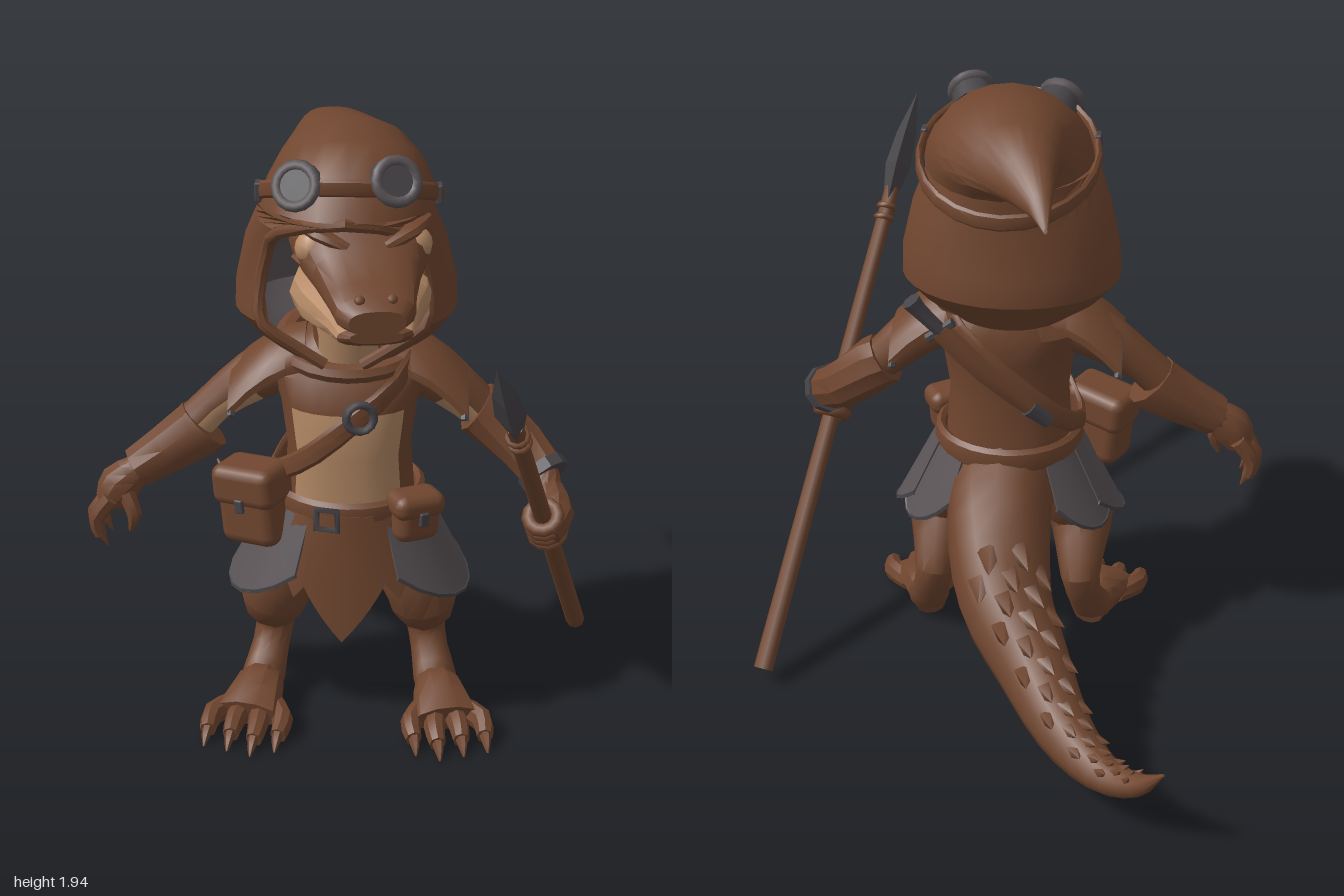
import * as THREE from 'three';
import { toCreasedNormals } from 'three/addons/utils/BufferGeometryUtils.js';
import { RoundedBoxGeometry } from 'three/addons/geometries/RoundedBoxGeometry.js';

const V = (x, y, z) => new THREE.Vector3(x, y, z);
const material = (name, color) => Object.assign(new THREE.MeshStandardMaterial({ color }), { name });
const BROWN = 0, TAN = 1, GRAY = 2, DARK = 3;
const X = V(1, 0, 0), Y = V(0, 1, 0), Z = V(0, 0, 1);

export function createModel() {
  const M = [material('brown hide and leather', 0x70462f), material('tan skin', 0xb58a66),
    material('gray cloth and steel', 0x5a5356), material('dark metal', 0x474448)];
  const model = new THREE.Group();
  model.name = 'lizardScout';

  function add(name, geo, color, pos = [0, 0, 0], rot = [0, 0, 0], parent = model) {
    const mesh = new THREE.Mesh(geo, Array.isArray(color) ? M : M[color]);
    mesh.name = name;
    mesh.position.set(...pos);
    mesh.rotation.set(...rot);
    parent.add(mesh);
    return mesh;
  }

  // Closed surface through rings of points; paint(i, j) picks a colour per face
  function surface(name, rings, paint, { loop = false, shell = false, parent = model } = {}) {
    const n = rings[0].length, R = rings.length, pts = rings.flat(), faces = [[], [], [], []];
    const quad = (c, a, b, d, e) => faces[c].push(a, b, d, a, d, e);
    for (let i = 0; i < (loop ? R : R - 1); i++) for (let j = 0; j < n; j++) {
      const a = i * n, b = ((i + 1) % R) * n, k = (j + 1) % n;
      quad(paint(i, j), a + j, a + k, b + k, b + j);
    }
    if (!loop) for (const end of [0, R - 1]) {
      const o = end * n, flip = end > 0;
      if (shell) for (let j = 0; j < n / 2 - 1; j++) {
        const q = [o + j, o + n - 1 - j, o + n - 2 - j, o + j + 1];
        quad(paint(0, 0), ...(flip ? q.reverse() : q));
      } else {
        const c = pts.length;
        pts.push(rings[end].reduce((s, p) => s.add(p), V(0, 0, 0)).divideScalar(n));
        for (let j = 0; j < n; j++) {
          const a = o + j, b = o + (j + 1) % n;
          faces[paint(Math.min(end, R - 2), j)].push(c, ...(flip ? [a, b] : [b, a]));
        }
      }
    }
    // Turn the faces outward
    let volume = 0;
    for (const f of faces) for (let t = 0; t < f.length; t += 3)
      volume += pts[f[t]].dot(V(0, 0, 0).crossVectors(pts[f[t + 1]], pts[f[t + 2]]));
    const geo = new THREE.BufferGeometry().setFromPoints(pts), index = [];
    faces.forEach((f, c) => {
      if (volume < 0) f.reverse();
      if (f.length) geo.addGroup(index.length, f.length, c);
      index.push(...f);
    });
    geo.setIndex(index);
    const used = [0, 1, 2, 3].filter(c => faces[c].length);
    if (used.length === 1) geo.clearGroups();
    return add(name, toCreasedNormals(geo, 0.6), used.length === 1 ? used[0] : used, undefined, undefined, parent);
  }

  // Symmetric form from rings [front z, front y, back z, back y, x, half width]
  function skin(name, rows, paint, { n = 20, pow = 1, parent } = {}) {
    const p = v => Math.sign(v) * Math.abs(v) ** pow;
    surface(name, rows.map(([zf, yf, zb, yb, x, rx]) => Array.from({ length: n }, (_, j) => {
      const a = j / n * Math.PI * 2, c = p(Math.cos(a)) / 2;
      return V(x + rx * p(Math.sin(a)), (yf + yb) / 2 + (yf - yb) * c, (zf + zb) / 2 + (zf - zb) * c);
    })), paint, { parent });
  }

  function smooth(pts, k, closed) {
    const P = new THREE.CatmullRomCurve3(pts.map(p => V(p[0], p[1], p[2])), closed, 'catmullrom');
    const S = new THREE.CatmullRomCurve3(pts.map(p => V(p[3], p[4] ?? p[3], 0)), closed, 'catmullrom');
    const m = (pts.length - (closed ? 0 : 1)) * k;
    return Array.from({ length: closed ? m : m + 1 }, (_, i) => {
      const a = P.getPoint(i / m), r = S.getPoint(i / m);
      return { c: a, w: Math.max(r.x, 0.003), h: Math.max(r.y, 0.003) };
    });
  }
  function frame(s, i, up, closed) {
    const L = s.length, at = k => s[closed ? (k + L) % L : Math.min(Math.max(k, 0), L - 1)].c;
    const t = at(i + 1).clone().sub(at(i - 1)).normalize();
    const u = typeof up === 'function' ? up(s[i].c) : up;
    const side = V(0, 0, 0).crossVectors(u, t).normalize();
    return { t, side, v: V(0, 0, 0).crossVectors(t, side) };
  }
  // Tapering limb along points [x, y, z, half width, half height]
  function limb(name, pts, color, { n = 10, up = Y, k = 2, closed = false, paint, parent } = {}) {
    const s = smooth(pts, k, closed);
    surface(name, s.map((q, i) => {
      const f = frame(s, i, up, closed);
      return Array.from({ length: n }, (_, j) => {
        const a = j / n * Math.PI * 2;
        return q.c.clone().addScaledVector(f.side, q.w * Math.cos(a)).addScaledVector(f.v, q.h * Math.sin(a));
      });
    }), paint ?? (() => color), { loop: closed, parent });
    return s;
  }
  // Thick sheet from f(u, v, inset)
  function shell(name, nu, nv, thick, f, outer, inner = outer) {
    surface(name, Array.from({ length: nv + 1 }, (_, i) => {
      const row = d => Array.from({ length: nu + 1 }, (_, j) => f(j / nu, i / nv, d));
      return [...row(0), ...row(thick).reverse()];
    }), (i, j) => j > nu && j < 2 * nu + 1 ? inner : outer, { shell: true });
  }
  const facing = (j, n) => Math.abs(((j + 0.5) / n * 2 + 1) % 2 - 1) * Math.PI; // angle from the front

  // Torso and neck
  skin('torso', [[.2, .43, .04, .43, 0, .1], [.27, .55, -.02, .55, 0, .18], [.285, .7, -.08, .7, 0, .205],
    [.28, .82, -.07, .82, 0, .2], [.285, .95, -.05, .95, 0, .19], [.285, 1.1, -.07, 1.1, 0, .21],
    [.25, 1.19, -.08, 1.19, 0, .24], [.2, 1.27, -.05, 1.27, 0, .17], [.17, 1.33, -.02, 1.33, 0, .1]],
  (i, j) => i >= 2 && i <= 4 && facing(j, 28) < .8 ? TAN : BROWN, { n: 28, pow: .88 });
  skin('neck', [[.22, 1.2, 0, 1.2, 0, .11], [.24, 1.32, 0, 1.32, 0, .11], [.26, 1.43, .02, 1.45, 0, .13]],
    (i, j) => facing(j, 20) < .9 ? TAN : BROWN);

  // Head, turned a little to its left
  const head = new THREE.Group();
  head.name = 'head';
  head.rotation.y = .16;
  model.add(head);
  const across = rows => rows.map(([z, t, b, rx]) => [z, t, z, b, 0, rx]);
  skin('skullAndSnout', across([[.02, 1.7, 1.45, .17], [.2, 1.74, 1.53, .205], [.32, 1.73, 1.525, .188],
    [.39, 1.665, 1.51, .155], [.49, 1.605, 1.495, .125], [.565, 1.59, 1.485, .113], [.605, 1.56, 1.49, .08]]),
  () => BROWN, { n: 16, pow: .8, parent: head });
  skin('jaw', across([[.04, 1.54, 1.38, .17], [.24, 1.575, 1.405, .208], [.33, 1.565, 1.4, .192], [.41, 1.54, 1.41, .155],
    [.5, 1.52, 1.43, .125], [.565, 1.5, 1.445, .108], [.59, 1.495, 1.46, .075]]),
  (i, j) => i > 4 || facing(j, 16) > 2.6 ? BROWN : TAN, { n: 16, pow: .8, parent: head });
  for (const s of [-1, 1]) {
    add('eye', new THREE.SphereGeometry(.053, 12, 8), TAN, [s * .145, 1.645, .305], undefined, head);
    limb('brow', [[s * .055, 1.66, .375, .014, .018], [s * .13, 1.695, .335, .032, .02], [s * .195, 1.7, .24, .014]],
      BROWN, { n: 8, parent: head });
    limb('lowerEyelid', [[s * .09, 1.61, .36, .01], [s * .15, 1.595, .335, .016], [s * .195, 1.605, .26, .01]],
      BROWN, { n: 6, parent: head });
    add('nostril', new THREE.SphereGeometry(.016, 8, 6), BROWN, [s * .045, 1.58, .57], undefined, head);
  }

  // Hood: open lower part [y, rx, centre z, rz, opening], rim and pointed cap
  const hood = [[1.25, .19, .07, .18, .3], [1.31, .28, .06, .215, .55], [1.38, .335, .055, .275, .78],
    [1.46, .332, .05, .265, .85], [1.6, .3, .065, .23, .83], [1.68, .268, .095, .265, .72], [1.725, .255, .115, .285, .06]];
  const hoodPoint = (r, a, d) => V(Math.sin(a) * (r[1] - d) - .012, r[0], r[2] + Math.cos(a) * (r[3] - d));
  shell('hoodSides', 24, 6, .022, (u, v, d) => {
    const r = hood[Math.round(v * 6)];
    return hoodPoint(r, r[4] + u * (Math.PI * 2 - 2 * r[4]), d);
  }, BROWN, GRAY);
  const edge = s => hood.slice(0, 6).map(r => [...hoodPoint(r, s * r[4], 0).toArray(), .019]);
  limb('hoodRim', [...edge(-1), [0, 1.735, .39, .02], ...edge(1).reverse()], BROWN, { n: 8, up: Z });
  skin('hoodCap', [[.4, 1.74, -.17, 1.7, 0, .257], [.335, 1.84, -.18, 1.715, 0, .243], [.2, 1.92, -.2, 1.73, 0, .21],
    [.03, 1.945, -.22, 1.74, -.01, .17], [-.13, 1.93, -.26, 1.745, -.05, .12], [-.25, 1.895, -.32, 1.75, -.09, .075],
    [-.36, 1.82, -.39, 1.75, -.13, .032], [-.43, 1.75, -.44, 1.735, -.15, .006]], () => BROWN);
  limb('collar', Array.from({ length: 12 }, (_, i) => {
    const a = i / 6 * Math.PI;
    return [.2 * Math.sin(a), 1.265 - .045 * Math.cos(a), .07 + .17 * Math.cos(a), .035, .03];
  }), BROWN, { closed: true, n: 8 });

  // Goggles and strap
  const outward = p => V(p.x, 0, p.z - .1);
  limb('goggleStrap', Array.from({ length: 12 }, (_, i) => {
    const a = i / 6 * Math.PI;
    return [.268 * Math.sin(a), 1.735 + .095 * Math.cos(a), .085 + .27 * Math.cos(a), .026, .012];
  }), BROWN, { closed: true, n: 8, up: outward });
  for (const s of [-1, 1]) {
    const g = new THREE.Group();
    g.name = 'goggle';
    g.position.set(s * .132, 1.825 + s * .008, .308);
    g.rotation.set(-.45, s * .3, 0);
    model.add(g);
    add('goggleCup', new THREE.CylinderGeometry(.06, .074, .08, 14), DARK, [0, 0, -.01], [Math.PI / 2, 0, 0], g);
    add('goggleRing', new THREE.TorusGeometry(.058, .017, 8, 16), GRAY, [0, 0, .028], undefined, g);
    add('lens', new THREE.CylinderGeometry(.05, .05, .008, 14), DARK, [0, 0, .033], [Math.PI / 2, 0, 0], g);
    add('strapBuckle', new RoundedBoxGeometry(.02, .06, .045, 1, .006), DARK, [s * .262, 1.757, .16]);
  }

  // Legs, feet, shoulder plates
  for (const s of [-1, 1]) {
    const m = pts => pts.map(([x, ...r]) => [x * s, ...r]);
    limb('leg', m([[.15, .66, .11, .13, .1], [.205, .53, .14, .13, .12], [.235, .42, .16, .105, .11],
      [.24, .34, .09, .08, .085], [.245, .26, .02, .06, .065], [.26, .17, .05, .05, .06],
      [.28, .09, .11, .06, .07], [.285, .04, .13, .035, .06]]), BROWN, { up: X, n: 12 });
    limb('foot', m([[.27, .06, .08, .05, .05], [.29, .078, .17, .08, .075], [.32, .053, .3, .11, .05]]), BROWN);
    [.215, .29, .365, .44].forEach((x, i) => {
      const z = .41 - .025 * Math.abs(i - 1);
      limb('toe', m([[.3 + (x - .32) * .5, .05, .22, .035, .035], [x - .01, .045, z - .07, .034, .042],
        [x, .03, z, .026, .03]]), BROWN, { n: 8 });
      limb('toeClaw', m([[x, .034, z - .01, .02, .024], [x + .005, .022, z + .03, .013, .016],
        [x + .008, .006, z + .058, .003]]), BROWN, { n: 6 });
    });
    const plate = (u, v, d) => {
      const a = (u - .5) * 2.3;
      return V(s * (.13 + .23 * v), 1.32 - .02 * v - .12 * v * v - (1 - Math.cos(a)) * .14 - d,
        .09 + (.13 + .04 * v) * Math.sin(a));
    };
    shell('shoulderPlate', 8, 4, .025, plate, BROWN, GRAY);
    limb('shoulderPlateTrim', Array.from({ length: 7 }, (_, i) => [...plate(i / 6, .96, .03).toArray(), .013]),
      DARK, { up: X, n: 6 });
  }

  // Right arm with open hand
  limb('rightArm', [[-.18, 1.2, .08, .09], [-.3, 1.14, .08, .08], [-.42, 1.05, .09, .062], [-.52, .95, .105, .065],
    [-.64, .86, .13, .05], [-.7, .81, .15, .05]], BROWN,
  { up: Z, n: 12, paint: (i, j) => i > 1 && i < 7 && j < 3 ? TAN : BROWN });
  limb('rightBracer', [[-.45, .985, .097, .095, .085], [-.47, .965, .1, .095, .085], [-.57, .9, .115, .08, .075],
    [-.66, .845, .135, .068]], BROWN, { up: Z, k: 1 });
  limb('rightPalm', [[-.65, .85, .135, .045], [-.71, .8, .15, .068, .06], [-.745, .74, .155, .05, .055]], BROWN, { up: Z });
  for (const [z, x, y] of [[.1, 0, 0], [.15, -.012, -.02], [.2, 0, 0]]) {
    limb('rightFinger', [[-.735, .77, z, .028], [-.785 + x, .7, z, .026], [-.775 + x, .64 + y, z, .019]], BROWN, { up: Z, n: 7 });
    limb('rightClaw', [[-.775 + x, .65 + y, z, .016], [-.755 + x, .605 + y, z, .003]], BROWN, { up: Z, n: 6 });
  }
  limb('rightThumb', [[-.69, .78, .185, .026], [-.665, .72, .205, .024], [-.68, .66, .205, .006]], BROWN, { up: Z, n: 7 });

  // Left arm, gripping the spear
  limb('leftArm', [[.18, 1.2, .08, .09], [.3, 1.13, .07, .08], [.42, 1.02, .06, .065], [.53, .93, .08, .065],
    [.6, .85, .17, .052], [.605, .79, .26, .055]], BROWN,
  { n: 12, paint: (i, j) => i > 1 && i < 6 && j > 5 && j < 9 ? TAN : BROWN });
  limb('leftBracer', [[.39, 1.04, .06, .085], [.42, 1.02, .06, .088], [.53, .925, .085, .08], [.605, .86, .155, .07]],
    BROWN, { k: 1 });
  limb('leftCuff', [[.588, .873, .14, .08], [.608, .852, .163, .08]], DARK, { k: 1 });
  limb('leftHand', [[.61, .83, .2, .05], [.62, .785, .27, .07, .065], [.6, .74, .33, .05]], BROWN);

  const spear = new THREE.Group(), base = V(.77, .06, -.32), reach = V(.405, 1.57, 1).sub(base);
  spear.name = 'spear';
  spear.position.copy(base);
  spear.quaternion.setFromUnitVectors(Y, reach.clone().normalize());
  model.add(spear);
  add('spearShaft', new THREE.CylinderGeometry(.025, .032, 1.68, 8), BROWN, [0, .84, 0], undefined, spear);
  const blade = new THREE.LatheGeometry([[0, 1.62], [.024, 1.63], [.058, 1.76], [.045, 1.88], [0, 2.035]]
    .map(p => new THREE.Vector2(...p)), 4).scale(.75, 1, 1).toNonIndexed();
  blade.computeVertexNormals();
  add('spearBlade', blade, DARK, undefined, undefined, spear);
  for (const y of [1.57, 1.61])
    add('spearBinding', new THREE.TorusGeometry(.026, .011, 6, 10), BROWN, [0, y, 0], [Math.PI / 2, 0, 0], spear);
  for (const y of [.88, .92, .96, 1.0])
    add('grippingFinger', new THREE.TorusGeometry(.044, .022, 8, 12), BROWN, [0, y, 0], [Math.PI / 2, 0, 0], spear);

  // Tail with rows of pointed scales
  const tail = limb('tail', [[.01, .63, .02, .17, .2], [.01, .56, -.15, .165, .17], [-.03, .41, -.33, .15, .145],
    [-.13, .295, -.5, .12, .12], [-.24, .2, -.68, .09, .09], [-.36, .165, -.82, .062, .06],
    [-.47, .215, -.92, .036, .036], [-.545, .325, -.995, .004]], BROWN, { n: 12, k: 3 });
  for (let i = 5; i < 19; i++) for (const a of i % 2 ? [-.35, .35] : [-.75, 0, .75]) {
    const q = tail[i], f = frame(tail, i, Y, false), size = .3 + q.w * 5;
    const out = f.side.clone().multiplyScalar(Math.sin(a)).addScaledVector(f.v, Math.cos(a));
    const scale = add('tailScale', new THREE.ConeGeometry(.04 * size, .085 * size, 5), BROWN);
    scale.position.copy(q.c).addScaledVector(f.side, Math.sin(a) * q.w).addScaledVector(f.v, Math.cos(a) * q.h);
    scale.quaternion.setFromUnitVectors(Y, out.addScaledVector(f.t, 1.6).normalize());
  }

  // Skirt panels [angle, width, length, colour, lift] and belt
  for (const [a0, w, len, c, lift] of [[-.03, .72, .41, BROWN, .02], [-.45, .5, .28, BROWN, .012], [.45, .5, .28, BROWN, .012],
    [-1.25, 1.5, .31, GRAY, .006], [1.25, 1.5, .31, GRAY, .006], [-2.1, .9, .27, GRAY, 0], [2.1, .9, .27, GRAY, 0]]) {
    const panel = (u, v, d) => {
      const k = Math.abs(2 * u - 1), cut = c === GRAY ? .35 * k * k : .45 * k;
      const a = a0 + (u - .5) * w, drop = len * (1 - cut) * v, flare = c === GRAY ? .3 : .12;
      return V(Math.sin(a) * (.228 + .5 * drop + lift - d), .78 - drop, .1 + Math.cos(a) * (.2 + flare * drop + lift - d));
    };
    shell('skirtPanel', 10, 4, .012, panel, c);
    if (c === GRAY) limb('skirtHem', Array.from({ length: 9 }, (_, i) => [...panel(i / 8, 1, .006).toArray(), .009]),
      DARK, { n: 5, k: 1 });
  }
  limb('belt', Array.from({ length: 14 }, (_, i) => {
    const a = i / 7 * Math.PI;
    return [.222 * Math.sin(a), .775, .1 + .2 * Math.cos(a), .042, .02];
  }), BROWN, { closed: true, n: 8, up: outward });
  add('beltBuckle', new THREE.TorusGeometry(.046, .013, 4, 4).rotateZ(Math.PI / 4), DARK, [-.06, .77, .318], [0, -.2, 0]);

  // Chest strap, buckle and scabbard
  limb('chestStrap', [[.2, 1.27, .08, .034, .014], [.15, 1.2, .25, .034, .014], [.03, 1.1, .305, .034, .014],
    [-.1, .98, .29, .034, .014], [-.2, .88, .19, .034, .014], [-.235, .84, .08, .034, .014],
    [-.16, .92, -.05, .034, .014], [0, 1.08, -.09, .034, .014], [.14, 1.22, -.06, .034, .014]],
  BROWN, { closed: true, n: 8, up: outward });
  add('chestBuckle', new THREE.TorusGeometry(.042, .013, 6, 14), DARK, [.04, 1.11, .315], [-.1, .2, .7]);
  limb('scabbard', [[.19, 1.24, -.11, .035, .022], [.05, 1.09, -.105, .035, .022], [-.13, .92, -.07, .024, .016]], BROWN, { up: Z });
  limb('scabbardTip', [[-.08, .967, -.085, .032, .023], [-.14, .91, -.068, .024, .018]], DARK, { up: Z, n: 8, k: 1 });
  limb('knifeHilt', [[.19, 1.24, -.11, .022], [.25, 1.31, -.12, .026], [.275, 1.345, -.125, .032]], DARK, { up: Z, n: 8 });
  limb('knifeGuard', [[.15, 1.27, -.11, .015], [.23, 1.21, -.11, .015]], DARK, { up: Z, n: 6 });

  // Satchel and belt pouch
  for (const [name, pos, rot, w, h, d] of [['satchel', [-.29, .77, .2], [0, -.5, .1], .2, .26, .14],
    ['pouch', [.205, .76, .25], [0, .5, -.05], .15, .16, .1]]) {
    const bag = new THREE.Group();
    bag.name = name;
    bag.position.set(...pos);
    bag.rotation.set(...rot);
    model.add(bag);
    add('bagBody', new RoundedBoxGeometry(w, h, d, 2, .04), BROWN, undefined, undefined, bag);
    add('bagFlap', new RoundedBoxGeometry(w + .02, h * .5, d + .02, 2, .035), BROWN, [0, h * .26, 0], undefined, bag);
    add('bagClasp', new RoundedBoxGeometry(.03, .045, .015, 1, .005), DARK, [0, h * .06, d / 2 + .012], undefined, bag);
  }
  return model;
}
